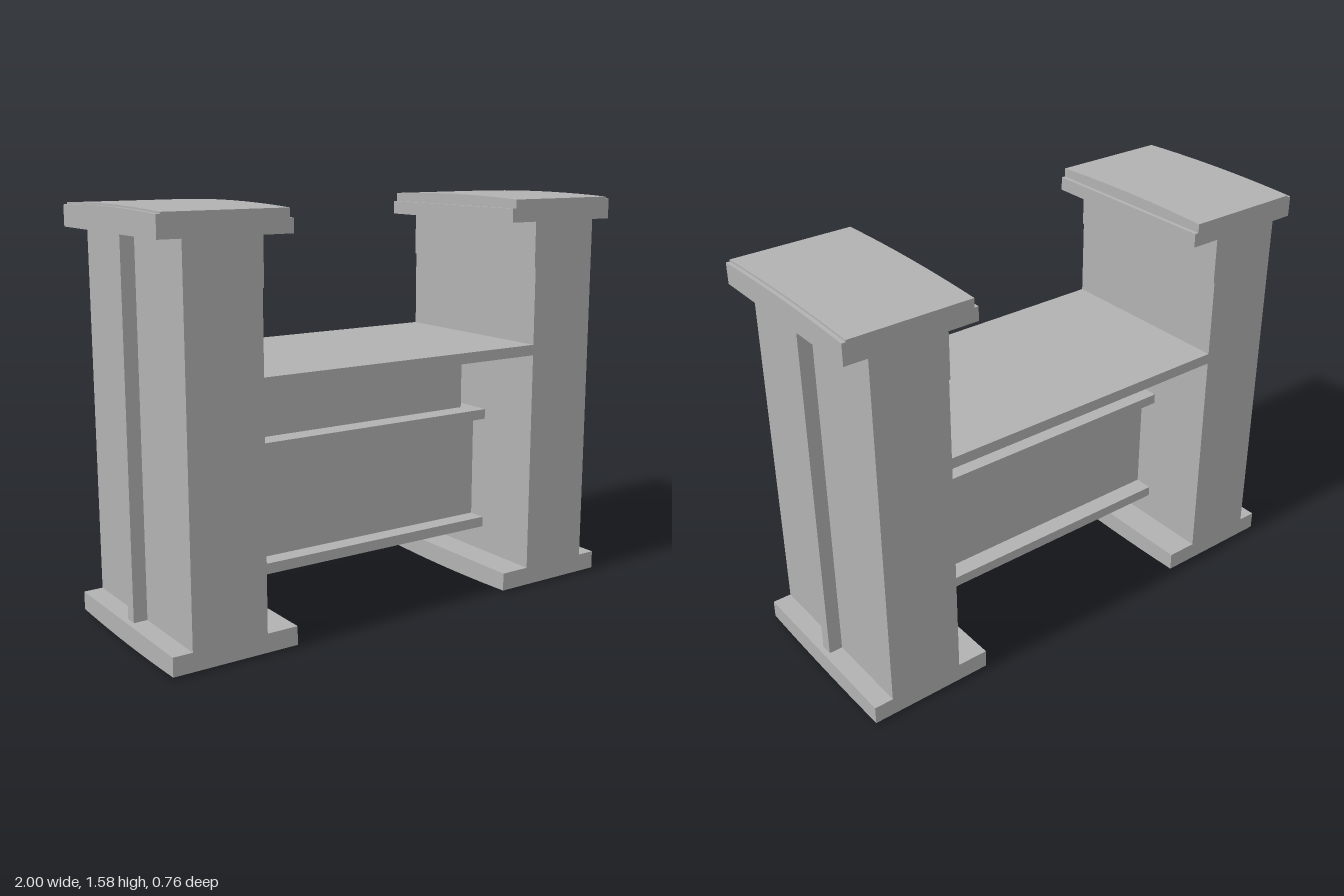
import * as THREE from 'three';
import { toCreasedNormals } from 'three/addons/utils/BufferGeometryUtils.js';

const DEPTH = 0.765;
const HALF = DEPTH / 2;

export function createModel() {
  const model = new THREE.Group();
  model.name = 'frame';
  const grey = new THREE.MeshStandardMaterial({ color: 0xb2b2b2 });
  grey.name = 'plain grey';

  // Box given by its x, y and z limits
  function box(parent, name, [x0, x1], [y0, y1], halfZ) {
    const mesh = new THREE.Mesh(new THREE.BoxGeometry(x1 - x0, y1 - y0, halfZ * 2), grey);
    mesh.position.set((x0 + x1) / 2, (y0 + y1) / 2, 0);
    mesh.name = name;
    parent.add(mesh);
  }

  // Front profile run through the depth, with one face gently bowed
  function bowedSlab(parent, name, points, bow) {
    const shape = new THREE.Shape(points.map(([x, y]) => new THREE.Vector2(x, y)));
    const geo = new THREE.ExtrudeGeometry(shape, { depth: DEPTH, steps: 10, bevelEnabled: false });
    geo.translate(0, 0, -HALF);
    const p = geo.attributes.position;
    for (let i = 0; i < p.count; i++) {
      p.setY(i, p.getY(i) + bow(p.getY(i), (p.getZ(i) / HALF) ** 2));
    }
    const mesh = new THREE.Mesh(toCreasedNormals(geo, 0.5), grey);
    mesh.name = name;
    parent.add(mesh);
  }

  // The two end posts, each with cap, foot and outer rib
  for (const side of ['left', 'right']) {
    const post = new THREE.Group();
    post.name = side + 'Post';
    box(post, 'column', [0.615, 0.912], [0.07, 1.5], HALF);
    box(post, 'outerRib', [0.91, 0.966], [0.07, 1.5], 0.024);
    box(post, 'innerPlate', [0.61, 0.617], [1.31, 1.5], HALF);
    bowedSlab(post, 'cap', [
      [0.49, 1.487], [1, 1.487], [1, 1.576], [0.985, 1.576], [0.985, 1.583],
      [0.506, 1.583], [0.506, 1.54], [0.49, 1.54],
    ], (y, t) => (y > 1.56 ? -0.009 * t : 0));
    bowedSlab(post, 'foot', [
      [0.49, 0], [0.988, 0], [0.988, 0.08], [0.49, 0.08],
    ], (y, t) => (y < 0.04 ? 0.008 * t : 0));
    if (side === 'right') post.rotation.y = Math.PI;
    model.add(post);
  }

  // Deck and the web hanging below it
  box(model, 'deck', [-0.617, 0.617], [0.963, 1.005], HALF);
  box(model, 'upperWeb', [-0.527, 0.527], [0.705, 0.965], 0.048);

  // Lower I-beam
  box(model, 'beamTopFlange', [-0.617, 0.617], [0.654, 0.695], 0.1);
  box(model, 'beamWeb', [-0.617, 0.617], [0.22, 0.66], 0.025);
  box(model, 'beamBottomFlange', [-0.617, 0.617], [0.184, 0.226], 0.1);

  return model;
}
